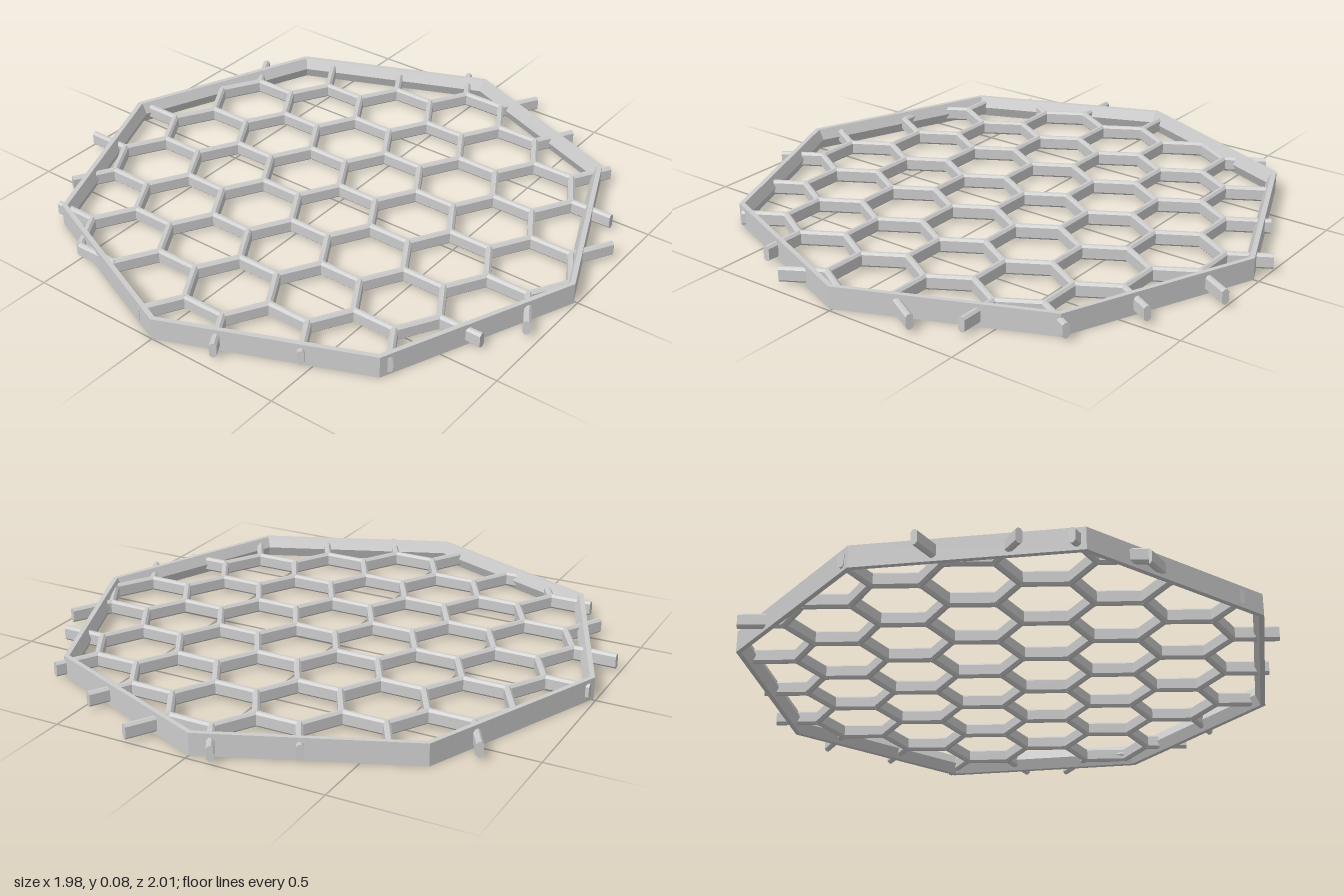
import * as THREE from 'three';

export function createModel() {
  const model = new THREE.Group();
  model.name = 'honeycombGrate';
  const material = new THREE.MeshStandardMaterial({ color: 0xcccccc, flatShading: true });

  // Eight-sided rim, its inner wall sloping to a ridge at mid height
  const profile = [[0.99, 0], [0.99, 0.08], [0.971, 0.08], [0.952, 0.04], [0.971, 0], [0.99, 0]]
    .map(([r, y]) => new THREE.Vector2(r, y));
  const rim = new THREE.Mesh(new THREE.LatheGeometry(profile, 8), material);
  rim.name = 'rim';
  rim.position.z = 0.01;
  model.add(rim);

  // Bar cross-section: tall with chamfered corners
  const w = 0.0125, h = 0.027, c = 0.008;
  const section = new THREE.Shape([
    [-w + c, -h], [w - c, -h], [w, -h + c], [w, h - c],
    [w - c, h], [-w + c, h], [-w, h - c], [-w, -h + c],
  ].map(([x, y]) => new THREE.Vector2(x, y)));

  const reach = 0.925;   // bars start only from joints inside this radius
  const overlap = 0.007; // closes the corners where three bars meet
  // Bars left out at the edge (midpoints x, z)
  const gaps = [[-0.905, -0.30], [-0.53, -0.79], [-0.29, 0.89]];
  const lattice = new THREE.Group();
  lattice.name = 'honeycomb';
  model.add(lattice);

  function addBar(a, b) {
    const inA = a.length() < reach, inB = b.length() < reach;
    if (!inA && !inB) return;
    const mid = a.clone().add(b).multiplyScalar(0.5);
    if (gaps.some(([x, z]) => Math.hypot(mid.x - x, mid.z - z) < 0.05)) return;
    const dir = b.clone().sub(a).normalize();
    const start = a.clone().addScaledVector(dir, inA ? -overlap : 0);
    const end = b.clone().addScaledVector(dir, inB ? overlap : 0);
    const geometry = new THREE.ExtrudeGeometry(section, {
      depth: start.distanceTo(end), bevelEnabled: false,
    });
    const bar = new THREE.Mesh(geometry, material);
    bar.name = 'bar';
    bar.position.set(start.x, 0.039, start.z);
    bar.rotation.y = Math.atan2(dir.x, dir.z);
    lattice.add(bar);
  }

  // Each cell column gives one cross bar and the two slanted bars at its right end
  const side = 0.162, row = side * Math.sqrt(3);
  for (let k = -6; k <= 6; k++) {
    for (let j = -2; j <= 9; j++) {
      const x = 0.068 + k * side * 1.5;
      const z = -0.862 + (j + (k & 1) / 2) * row;
      const joint = new THREE.Vector3(x + side / 2, 0, z);
      addBar(new THREE.Vector3(x - side / 2, 0, z), joint);
      for (const s of [-1, 1]) {
        addBar(joint, new THREE.Vector3(x + side, 0, z + s * row / 2));
      }
    }
  }
  return model;
}
